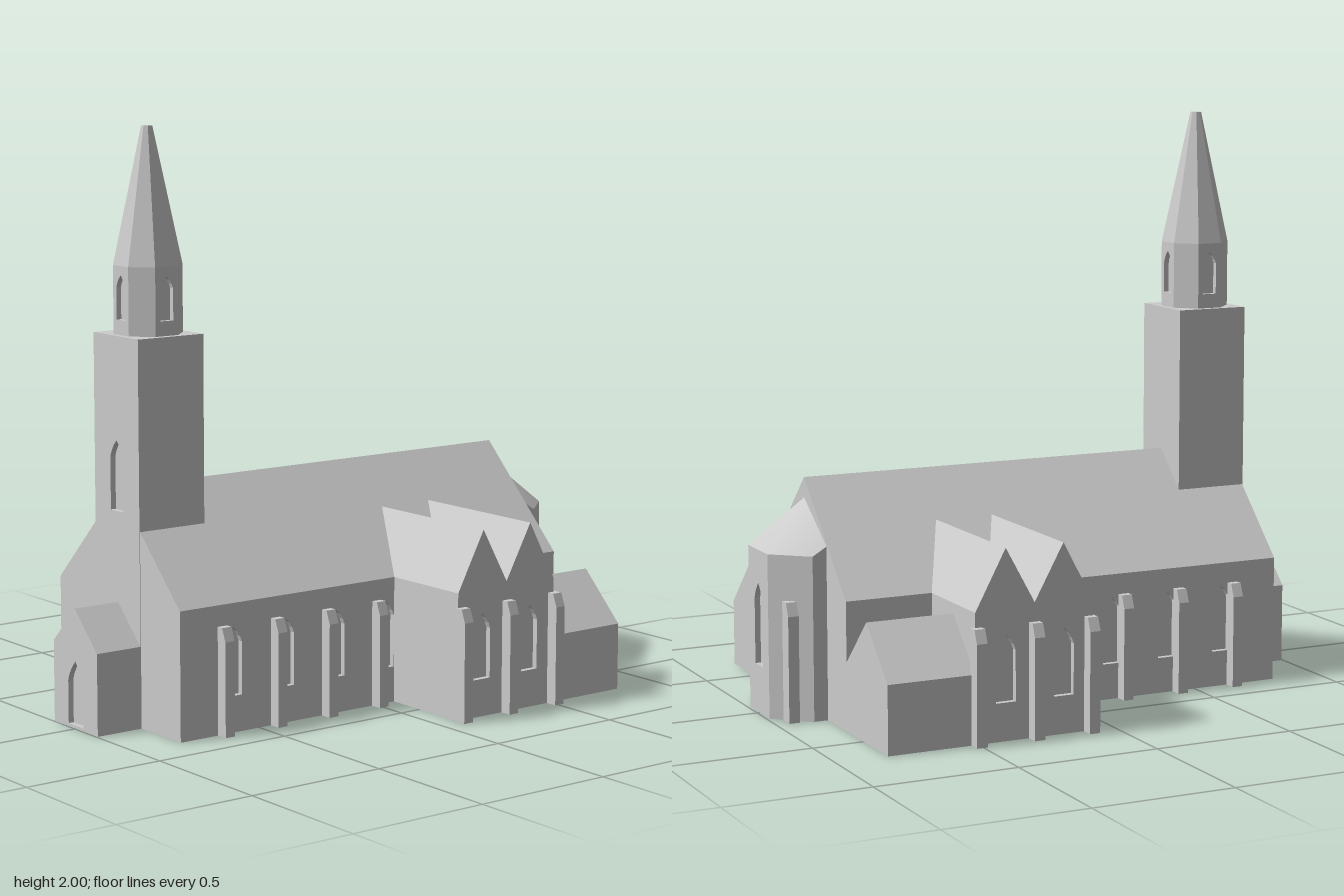
import * as THREE from 'three';

const stone = new THREE.MeshStandardMaterial({ color: 0xcccccc });
stone.name = 'pale stone';
const T = 0.02; // wall thickness, also the depth of window recesses

function add(parent, name, geo) {
  const m = new THREE.Mesh(geo, stone);
  m.name = name;
  parent.add(m);
  return m;
}

const polygon = (pts) => new THREE.Shape(pts.map(([x, y]) => new THREE.Vector2(x, y)));
const extrude = (shape, depth) =>
  new THREE.ExtrudeGeometry(shape, { depth, bevelEnabled: false, curveSegments: 3 });

// Pointed-arch opening centred on x
function lancet({ x, y0, y1, w }) {
  const h = w / 2, spring = y1 - w * 0.8;
  const p = new THREE.Path();
  p.moveTo(x - h, y0);
  p.lineTo(x + h, y0);
  p.lineTo(x + h, spring);
  p.quadraticCurveTo(x + h * 0.8, spring + w * 0.4, x, y1);
  p.quadraticCurveTo(x - h * 0.8, spring + w * 0.4, x - h, spring);
  p.closePath();
  return p;
}

// Wall from a to b (x, z), outside on the right-hand side; outline is a height or points
function wall(parent, name, a, b, outline, windows = [], y = 0) {
  const dx = b[0] - a[0], dz = b[1] - a[1], len = Math.hypot(dx, dz);
  const pts = Array.isArray(outline) ? outline
    : [[0, 0], [len, 0], [len, outline], [0, outline]];
  const shape = polygon(pts);
  windows.forEach((w) => shape.holes.push(lancet(w)));
  const m = add(parent, name, extrude(shape, T).translate(0, 0, -T));
  m.position.set(a[0], y, a[1]);
  m.rotation.y = Math.atan2(-dz, dx);
  return m;
}

// Prism along x whose (z, y) profile is symmetric about z
function prismX(parent, name, pts, x0, x1, z = 0) {
  const m = add(parent, name, extrude(polygon(pts), x1 - x0).rotateY(Math.PI / 2));
  m.position.set(x0, 0, z);
  return m;
}
const house = (h, eave, ridge) => [[-h, 0], [h, 0], [h, eave], [0, ridge], [-h, eave]];

// Stepped pier with a sloped cap, projecting along side * z
function buttress(parent, x, z, side, height) {
  const pts = [[-0.01, 0], [0.043, 0], [0.043, height - 0.045], [0.025, height], [-0.01, height]];
  const g = extrude(polygon(pts), 0.038).translate(0, 0, -0.019).rotateY(-Math.PI / 2);
  const m = add(parent, 'buttress', g);
  m.position.set(x, 0, z * side);
  if (side < 0) m.rotation.y = Math.PI;
}

function buildNave(root) {
  const nave = new THREE.Group();
  nave.name = 'nave';
  root.add(nave);
  prismX(nave, 'naveBodyAndRoof', [
    [-0.34, 0], [0.34, 0], [0.34, 0.43], [0.36, 0.43], [0.36, 0.44],
    [0, 0.8], [-0.36, 0.44], [-0.36, 0.43], [-0.34, 0.43]], -0.8, 0.82);
  for (const s of [1, -1]) {
    const windows = [-0.605, -0.388, -0.172, 0.045]
      .map((x) => ({ x: 0.82 + s * x, y0: 0.125, y1: 0.36, w: 0.068 }));
    wall(nave, 'naveSideWall', [-0.82 * s, 0.36 * s], [0.82 * s, 0.36 * s], 0.43, windows);
    [-0.65, -0.432, -0.216, 0.002].forEach((x) => buttress(nave, x, 0.36, s, 0.368));
    // Half gable beside the tower
    const half = [[0.1, 0], [0.36, 0], [0.36, 0.44], [0.1, 0.7]].map(([z, y]) => [z * s, y]);
    wall(nave, 'westGable', [-0.82, 0], [-0.82, 0.36], half);
  }
}

function buildTransept(root) {
  const transept = new THREE.Group();
  transept.name = 'transept';
  root.add(transept);
  const gables = [[0.08, 0], [0.51, 0], [0.51, 0.44], [0.4, 0.645],
    [0.295, 0.455], [0.19, 0.645], [0.08, 0.44]];
  add(transept, 'transeptBody', extrude(polygon(gables), 1.36).translate(0, 0, -0.68));
  for (const s of [1, -1]) {
    const windows = [0.187, 0.4].map((x) => ({ x: x * s, y0: 0.13, y1: 0.36, w: 0.072 }));
    wall(transept, 'doubleGableWall', [0, 0.7 * s], [s, 0.7 * s],
      gables.map(([x, y]) => [x * s, y]), windows);
    [0.093, 0.296, 0.505].forEach((x) => buttress(transept, x, 0.7, s, 0.39));
    prismX(root, 'sideChapel', house(0.17, 0.235, 0.405), 0.5, 0.82, 0.53 * s);
  }
}

function buildTower(root) {
  const tower = new THREE.Group();
  tower.name = 'tower';
  root.add(tower);
  const core = add(tower, 'towerShaft', new THREE.BoxGeometry(0.243, 1.31, 0.264));
  core.position.set(-0.6805, 0.655, 0);
  wall(tower, 'towerWestWall', [-0.822, -0.132], [-0.822, 0.132], 1.31,
    [{ x: 0.132, y0: 0.72, y1: 0.96, w: 0.075 }]);

  // Octagonal belfry with an opening on every other side
  const belfry = new THREE.Group();
  belfry.name = 'belfry';
  belfry.position.set(-0.69, 1.31, 0);
  tower.add(belfry);
  const R = 0.118, apothem = R * Math.cos(Math.PI / 8), half = R * Math.sin(Math.PI / 8);
  const octagon = (top, bottom, h) => {
    const g = new THREE.CylinderGeometry(top, bottom, h, 8, 1, false, Math.PI / 8).toNonIndexed();
    g.computeVertexNormals();
    return g;
  };
  add(belfry, 'belfryCore', octagon(R - T, R - T, 0.23)).position.y = 0.115;
  for (let i = 0; i < 8; i++) {
    const side = new THREE.Group();
    side.name = 'belfrySide';
    side.rotation.y = i * Math.PI / 4;
    belfry.add(side);
    wall(side, 'belfryWall', [-half, apothem], [half, apothem], 0.23,
      i % 2 ? [] : [{ x: half, y0: 0.05, y1: 0.2, w: 0.052 }]);
  }
  add(belfry, 'spire', octagon(0.019, R, 0.46)).position.y = 0.46;
}

function buildPorch(root) {
  const porch = new THREE.Group();
  porch.name = 'porch';
  root.add(porch);
  const profile = house(0.132, 0.28, 0.41);
  prismX(porch, 'porchBody', profile, -0.975, -0.81);
  wall(porch, 'porchGable', [-0.995, 0], [-0.995, 1], profile,
    [{ x: 0, y0: 0.01, y1: 0.23, w: 0.09 }]);
}

function buildApse(root) {
  const apse = new THREE.Group();
  apse.name = 'apse';
  root.add(apse);
  const h = 0.565;
  const plan = [[0.82, 0.195], [0.87, 0.195], [0.99, 0.09],
    [0.99, -0.09], [0.87, -0.195], [0.82, -0.195]];
  const inner = [[0.81, 0.18], [0.86, 0.18], [0.97, 0.08],
    [0.97, -0.08], [0.86, -0.18], [0.81, -0.18]];
  add(apse, 'apseCore', extrude(polygon(inner), h).rotateX(-Math.PI / 2));
  for (let i = 0; i < 5; i++) {
    let outline = h;
    if (i === 0) outline = [[0, 0], [0.05, 0], [0.05, h], [0, 0.595]];
    if (i === 4) outline = [[0, 0], [0.05, 0], [0.05, 0.595], [0, h]];
    wall(apse, 'apseWall', plan[i], plan[i + 1], outline,
      i === 2 ? [{ x: 0.09, y0: 0.165, y1: 0.45, w: 0.072 }] : []);
  }
  // Roof fan leaning on the end of the nave
  const pos = [0.82, 0.73, 0], index = [];
  plan.forEach(([x, z], i) => {
    pos.push(x, x < 0.85 ? 0.595 : h, z);
    if (i < 5) index.push(0, i + 1, i + 2);
  });
  const roof = new THREE.BufferGeometry();
  roof.setAttribute('position', new THREE.Float32BufferAttribute(pos, 3));
  roof.setIndex(index);
  roof.computeVertexNormals();
  add(apse, 'apseRoof', roof);
  for (const s of [1, -1]) buttress(apse, 0.936, 0.14, s, 0.41);
}

export function createModel() {
  const church = new THREE.Group();
  church.name = 'church';
  buildNave(church);
  buildTransept(church);
  buildTower(church);
  buildPorch(church);
  buildApse(church);
  return church;
}
